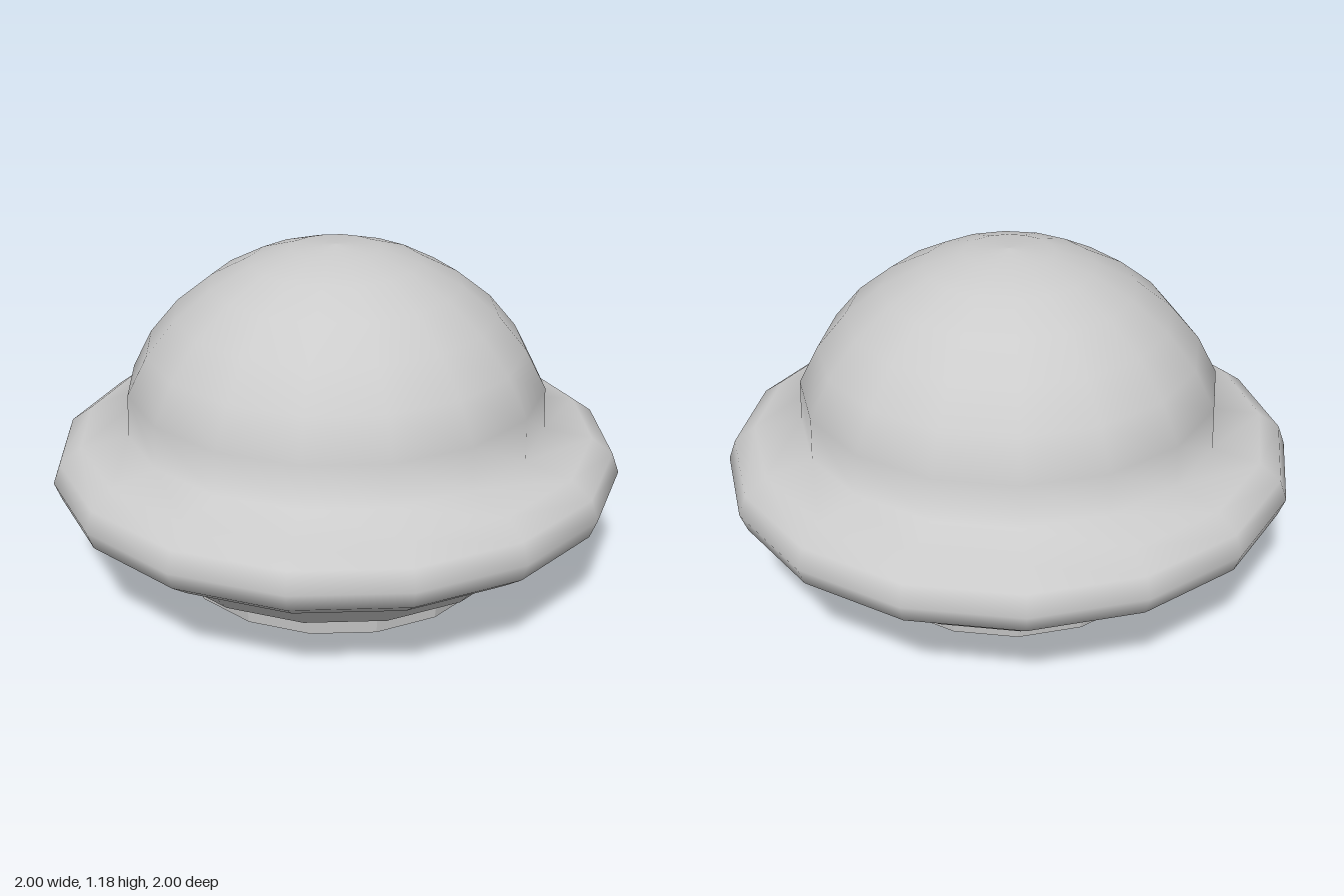
import * as THREE from 'three';

const SIDES = 16;

// Turned part; the profile runs from bottom to top as [radius, height]
function turned(name, profile, flatShading) {
  const points = profile.map(([r, y]) => new THREE.Vector2(r, y));
  const material = new THREE.MeshStandardMaterial({ color: 0xcccccc, flatShading });
  const mesh = new THREE.Mesh(new THREE.LatheGeometry(points, SIDES), material);
  mesh.name = name;
  return mesh;
}

export function createModel() {
  const model = new THREE.Group();
  model.name = 'domedSaucer';

  // Smooth dome flowing into the rounded rim
  model.add(turned('domeAndRim', [
    [0.8, 0.24], [0.9, 0.28], [0.975, 0.335], [1, 0.4], [0.975, 0.47], [0.9, 0.525],
    [0.735, 0.55], [0.73, 0.7], [0.66, 0.835], [0.56, 0.955], [0.435, 1.055],
    [0.295, 1.128], [0.155, 1.172], [0, 1.185],
  ], false));

  // Faceted skirt tapering in under the rim, with its flat underside
  model.add(turned('skirt', [[0.585, 0.12], [0.695, 0.12], [0.8, 0.24]], true));

  // Faceted foot ring
  model.add(turned('foot', [[0.385, 0], [0.57, 0], [0.585, 0.12]], true));

  // Shallow conical hollow in the base
  model.add(turned('baseHollow', [[0, 0.15], [0.385, 0]], true));

  return model;
}
